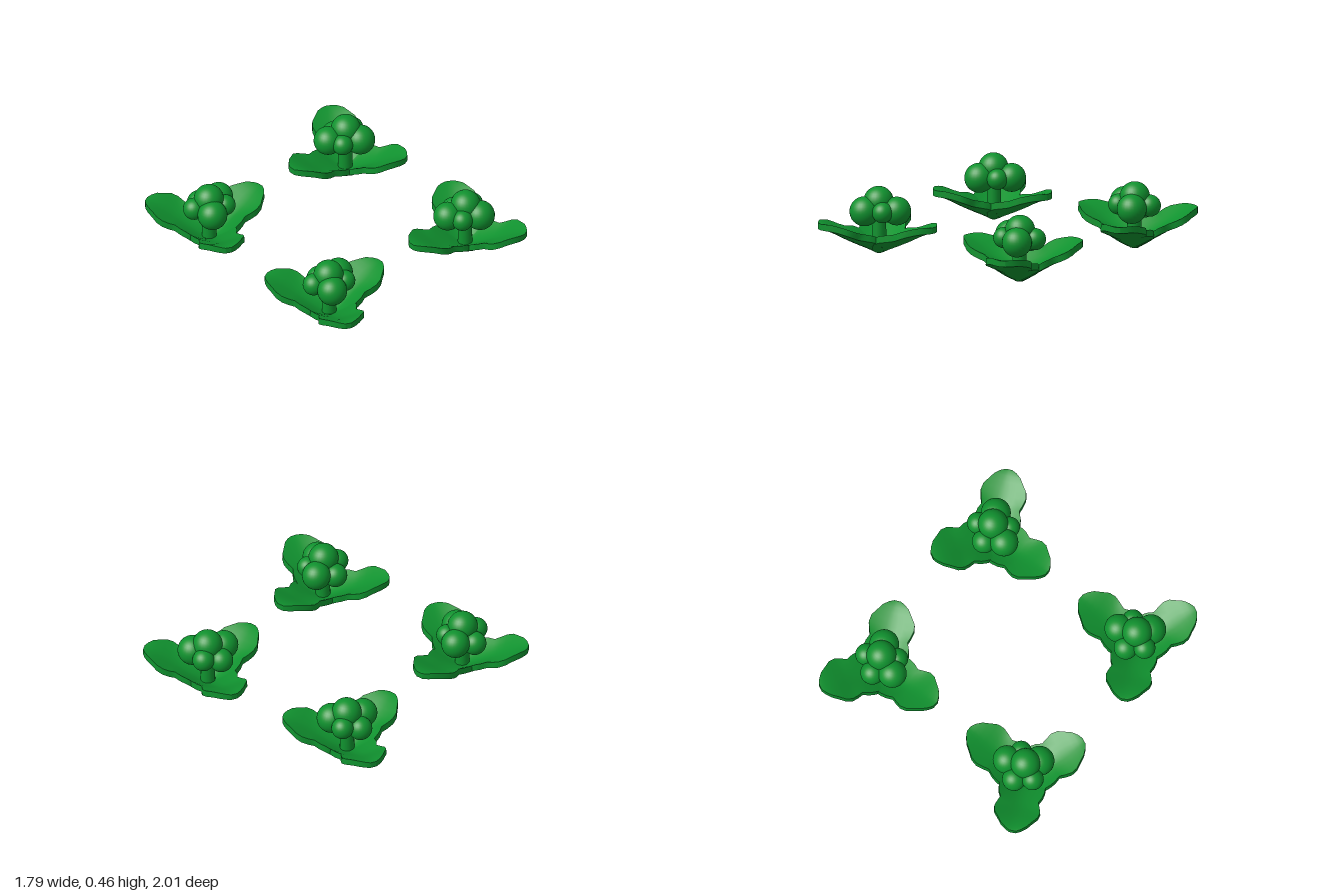
import * as THREE from 'three';

const green = new THREE.MeshStandardMaterial({ color: 0x10922f });
green.name = 'leafGreen';

// Leaf stations: distance from the root, half width, underside height, thickness, rise of the edges
const STATIONS = [
  [-0.03, 0.03, 0.014, 0.04, 0.01], [0.0, 0.07, 0.008, 0.042, 0.03], [0.04, 0.128, 0.022, 0.045, 0.055],
  [0.08, 0.156, 0.042, 0.046, 0.065], [0.12, 0.157, 0.06, 0.047, 0.064], [0.16, 0.15, 0.078, 0.047, 0.055],
  [0.205, 0.131, 0.099, 0.047, 0.042], [0.245, 0.145, 0.118, 0.047, 0.036], [0.29, 0.157, 0.141, 0.047, 0.032],
  [0.335, 0.149, 0.165, 0.047, 0.026], [0.38, 0.117, 0.187, 0.046, 0.018], [0.42, 0.09, 0.202, 0.046, 0.012],
  [0.45, 0.055, 0.21, 0.045, 0.005], [0.468, 0.022, 0.215, 0.042, 0],
];
const ACROSS = 8;

// Smooth surface through a grid of points (rows of equal length)
function gridSurface(rows, flip) {
  const n = rows[0].length;
  const index = [];
  for (let i = 0; i < rows.length - 1; i++) {
    for (let j = 0; j < n - 1; j++) {
      const a = i * n + j, b = a + 1, c = a + n, d = c + 1;
      if (flip) index.push(a, c, b, b, c, d);
      else index.push(a, b, c, b, d, c);
    }
  }
  const geometry = new THREE.BufferGeometry();
  geometry.setAttribute('position', new THREE.Float32BufferAttribute(rows.flat(2), 3));
  geometry.setIndex(index);
  geometry.computeVertexNormals();
  return geometry;
}

// One face of the leaf: its edges rise from the midrib
function leafLayer(isTop) {
  return STATIONS.map(([r, w, y, t, rise]) => {
    const row = [];
    for (let j = 0; j <= ACROSS; j++) {
      const s = (j / ACROSS) * 2 - 1;
      const cup = rise * Math.pow(Math.abs(s), 1.5);
      row.push([r, y + cup + (isTop ? t : 0), s * w * (isTop ? 0.985 : 1)]);
    }
    return row;
  });
}

// Perimeter running around the leaf
function perimeter(rows) {
  const right = rows.map((row) => row[ACROSS]);
  const left = rows.map((row) => row[0]).reverse();
  const tip = rows[rows.length - 1].slice(1, -1).reverse();
  return [...right, ...tip, ...left, ...rows[0].slice(1, -1), right[0]];
}

const topRows = leafLayer(true);
const underRows = leafLayer(false);
const LEAF_PARTS = {
  leafTop: gridSurface(topRows, false),
  leafUnderside: gridSurface(underRows, true),
  leafRim: gridSurface([perimeter(underRows), perimeter(topRows)], false),
};

// Lobed, cupped leaf pointing along +x
function makeLeaf() {
  const leaf = new THREE.Group();
  leaf.name = 'leaf';
  for (const [name, geometry] of Object.entries(LEAF_PARTS)) {
    const mesh = new THREE.Mesh(geometry, green);
    mesh.name = name;
    leaf.add(mesh);
  }
  return leaf;
}

// Round buds: x, y, z, radius
const BUDS = [
  [0.005, 0.364, 0, 0.101],
  [0.053, 0.303, 0.09, 0.1],
  [-0.12, 0.308, -0.04, 0.096],
  [-0.005, 0.278, -0.11, 0.08],
  [0.1, 0.308, -0.042, 0.074],
  [-0.083, 0.31, 0.065, 0.07],
];

function makePlant() {
  const plant = new THREE.Group();

  // Three leaves: heading in degrees and length scale
  for (const [heading, length] of [[181.5, 1], [65, 0.94], [-62, 0.96]]) {
    const leaf = makeLeaf();
    leaf.rotation.y = -THREE.MathUtils.degToRad(heading);
    leaf.scale.x = length;
    plant.add(leaf);
  }

  // Short stem carrying the buds
  const stem = new THREE.Mesh(new THREE.CylinderGeometry(0.045, 0.05, 0.26, 20), green);
  stem.name = 'stem';
  stem.position.y = 0.165;
  plant.add(stem);

  for (const [x, y, z, radius] of BUDS) {
    const bud = new THREE.Mesh(new THREE.SphereGeometry(radius, 28, 18), green);
    bud.name = 'bud';
    bud.position.set(x, y, z);
    plant.add(bud);
  }
  return plant;
}

export function createModel() {
  const model = new THREE.Group();
  model.name = 'plantSet';
  // Two rows of plants, mirrored left to right
  for (const side of [1, -1]) {
    for (const z of [-0.597, 0.597]) {
      const plant = makePlant();
      plant.name = side > 0 ? 'leftPlant' : 'rightPlant';
      plant.scale.x = side;
      plant.position.set(0.61 * side, 0, z);
      model.add(plant);
    }
  }
  return model;
}
